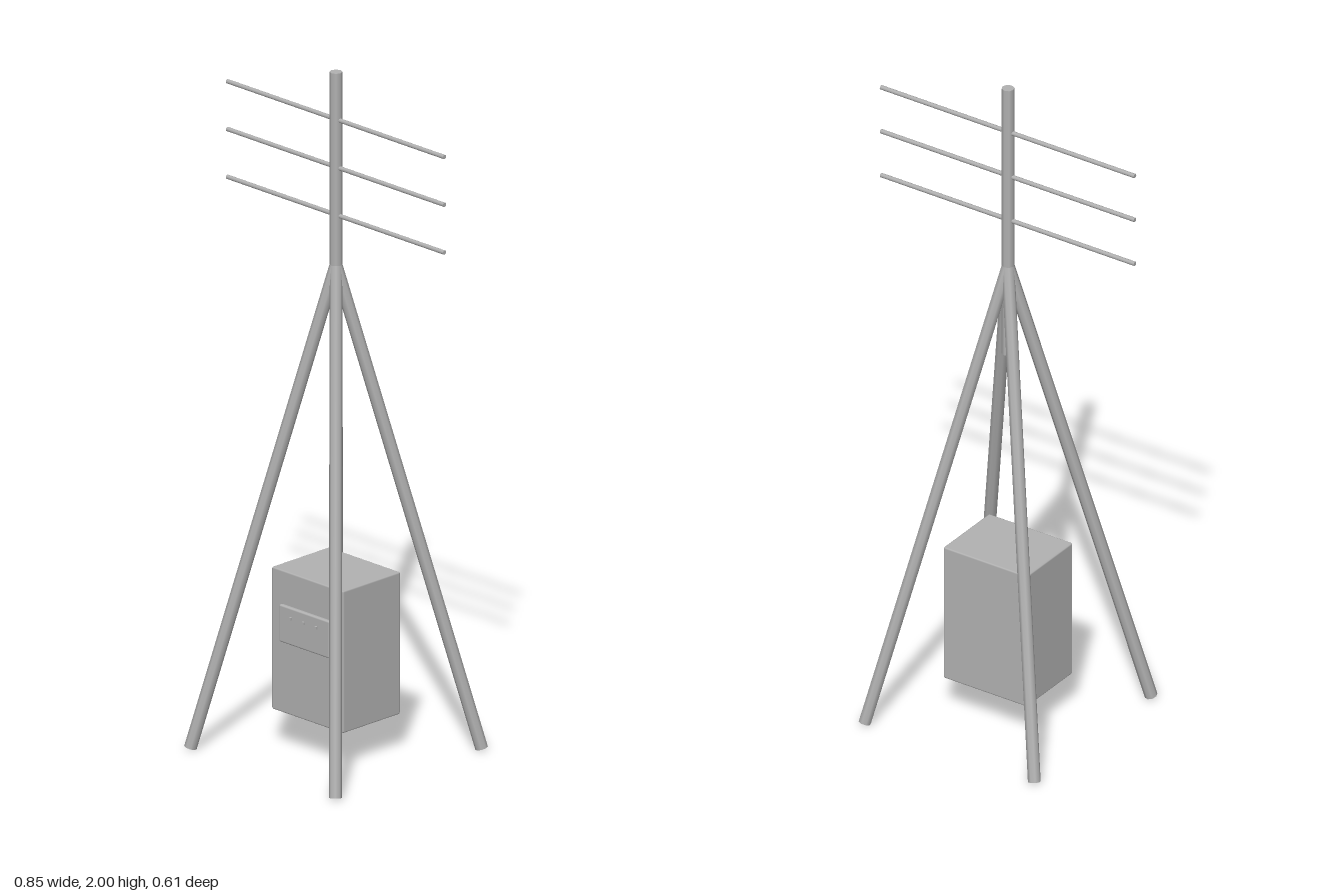
import * as THREE from 'three';
import { RoundedBoxGeometry } from 'three/addons/geometries/RoundedBoxGeometry.js';

const metal = new THREE.MeshStandardMaterial({ color: 0xb2b2b2 });
metal.name = 'grey metal';

export function createModel() {
  const model = new THREE.Group();
  model.name = 'antennaTower';

  function add(name, geometry, x = 0, y = 0, z = 0) {
    const mesh = new THREE.Mesh(geometry, metal);
    mesh.name = name;
    mesh.position.set(x, y, z);
    model.add(mesh);
    return mesh;
  }

  // Straight capped rod between two points
  function rod(name, from, to, radius, sides = 8) {
    const axis = to.clone().sub(from);
    const geometry = new THREE.CylinderGeometry(radius, radius, axis.length(), sides);
    const mesh = add(name, geometry);
    mesh.position.copy(from).add(to).multiplyScalar(0.5);
    mesh.quaternion.setFromUnitVectors(new THREE.Vector3(0, 1, 0), axis.normalize());
  }
  const v = (x, y, z) => new THREE.Vector3(x, y, z);

  // Mast
  rod('mast', v(0, 1.15, 0), v(0, 2, 0), 0.018);

  // Four splayed legs meeting on the mast
  for (const sx of [-1, 1])
    for (const sz of [-1, 1])
      rod(`${sz > 0 ? 'front' : 'back'}${sx > 0 ? 'Left' : 'Right'}Leg`,
        v(sx * 0.285, 0.005, sz * 0.285), v(0, 1.43, 0), 0.018);

  // Antenna crossbars
  [1.578, 1.719, 1.86].forEach((y, i) =>
    rod(`crossbar${i + 1}`, v(-0.427, y, 0), v(0.427, y, 0), 0.0065));

  // Equipment cabinet with a raised front plate
  add('cabinet', new RoundedBoxGeometry(0.282, 0.42, 0.224, 1, 0.005), 0, 0.322, 0);
  add('frontPlate', new RoundedBoxGeometry(0.198, 0.11, 0.014, 2, 0.005), 0, 0.38, 0.118);

  // Small studs on the plate
  for (const x of [-0.05, 0, 0.05])
    add('plateStud', new THREE.BoxGeometry(0.008, 0.008, 0.008), x, 0.405, 0.127);

  return model;
}
